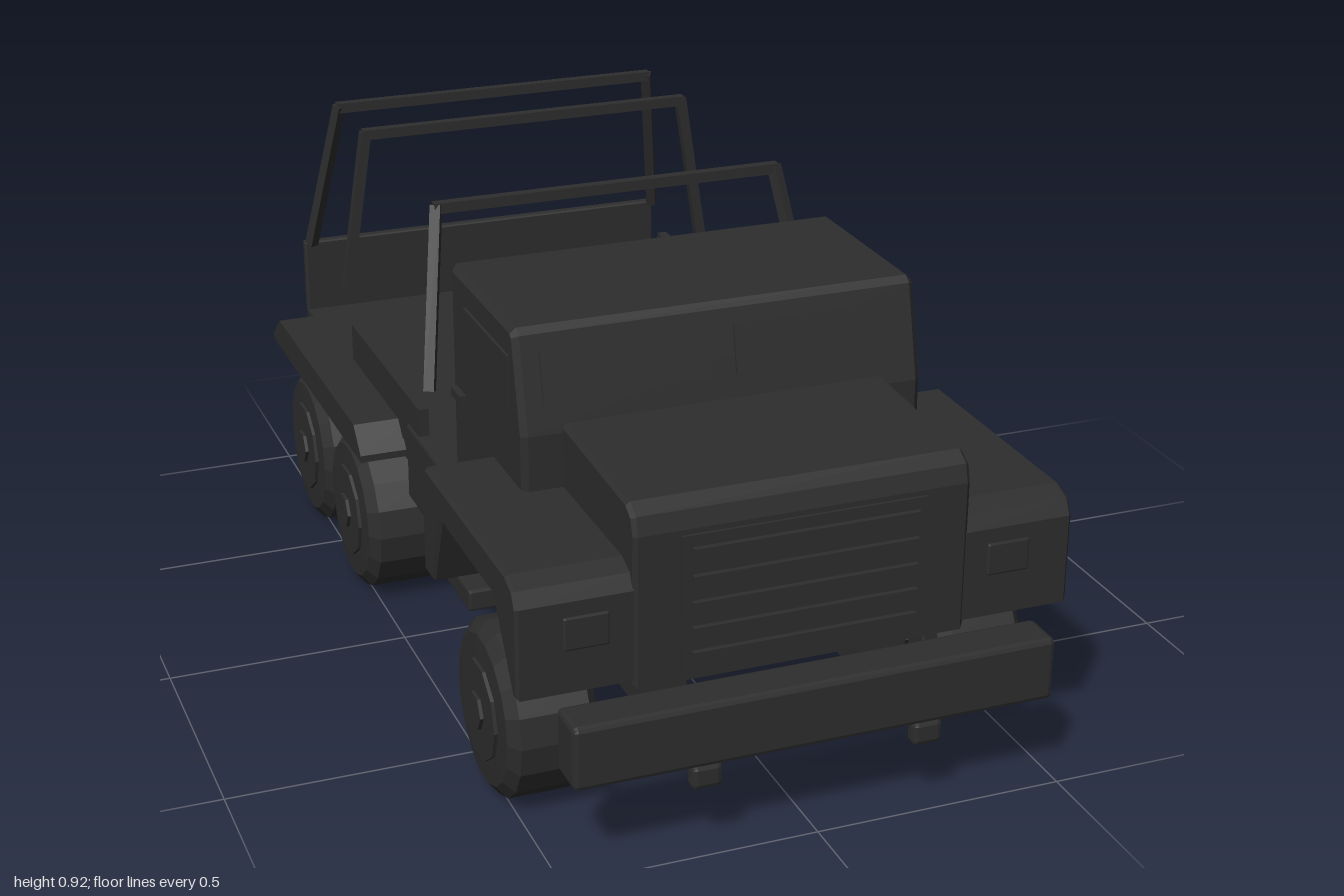
import * as THREE from 'three';
import { RoundedBoxGeometry } from 'three/addons/geometries/RoundedBoxGeometry.js';

export function createModel() {
  const truck = new THREE.Group();
  truck.name = 'truck';
  const paint = new THREE.MeshStandardMaterial({ color: 0x2d2d2d, flatShading: true });
  paint.name = 'charcoal';

  const add = (name, geometry) => {
    const mesh = new THREE.Mesh(geometry, paint);
    mesh.name = name;
    truck.add(mesh);
    return mesh;
  };

  // Box given by its limits on each axis, with optional softened edges
  const box = (name, [x0, x1], [y0, y1], [z0, z1], r = 0) => {
    const size = [x1 - x0, y1 - y0, z1 - z0];
    const g = r ? new RoundedBoxGeometry(...size, 1, r) : new THREE.BoxGeometry(...size);
    g.translate((x0 + x1) / 2, (y0 + y1) / 2, (z0 + z1) / 2);
    return add(name, g);
  };

  // Side profile of [z, y] points, extruded across x
  const profile = (name, points, x0, x1, bevel = 0.008) => {
    const shape = new THREE.Shape(points.map(([z, y]) => new THREE.Vector2(z, y)));
    const g = new THREE.ExtrudeGeometry(shape, {
      depth: x1 - x0 - 2 * bevel, bevelEnabled: bevel > 0, bevelSegments: 1,
      bevelSize: bevel, bevelThickness: bevel, bevelOffset: -bevel,
    });
    g.rotateY(-Math.PI / 2);
    g.translate(x1 - bevel, 0, 0);
    return add(name, g);
  };

  // Square bar between two points
  const bar = (name, a, b, t = 0.022) => {
    const from = new THREE.Vector3(...a), to = new THREE.Vector3(...b);
    const m = add(name, new THREE.BoxGeometry(t, t, from.distanceTo(to) + t * 0.5));
    m.position.copy(from).add(to).multiplyScalar(0.5);
    m.lookAt(to);
  };

  // Limits along x for a part on the given side
  const span = (s, a, b) => (s > 0 ? [a, b] : [-b, -a]);

  // Cab with a slanted windscreen
  profile('cab', [[0.11, 0.32], [0.545, 0.32], [0.54, 0.67], [0.495, 0.855],
    [0.48, 0.867], [0.11, 0.867]], -0.41, 0.41, 0.012);

  // Hood with a rounded nose
  profile('hood', [[0.53, 0.32], [0.91, 0.32], [0.91, 0.62], [0.9, 0.655],
    [0.87, 0.673], [0.53, 0.687]], -0.33, 0.33);

  // Grille plate and louvres
  box('grille', [-0.24, 0.24], [0.335, 0.61], [0.9, 0.916]);
  for (const y of [0.579, 0.525, 0.473, 0.422, 0.373]) {
    box('grilleLouvre', [-0.222, 0.222], [y - 0.008, y + 0.008], [0.91, 0.927]);
  }

  // Bumper
  box('bumper', [-0.477, 0.477], [0.187, 0.315], [0.91, 1], 0.01);

  // Chassis rails and cargo bed
  box('bedFloor', [-0.44, 0.44], [0.345, 0.385], [-0.99, 0.05]);
  box('tailgate', [-0.44, 0.44], [0.38, 0.555], [-1, -0.978], 0.005);

  for (const s of [1, -1]) {
    box('chassisRail', span(s, 0.175, 0.265), [0.19, 0.273], [-0.975, 0.78]);
    box('towHook', span(s, 0.19, 0.25), [0.14, 0.19], [0.965, 0.998], 0.01);
    box('headlight', span(s, 0.373, 0.462), [0.418, 0.486], [0.89, 0.908], 0.005);

    // Front fender with an angular wheel arch
    profile('frontFender', [[0.345, 0.335], [0.4, 0.335], [0.46, 0.488], [0.78, 0.488],
      [0.885, 0.335], [0.905, 0.335], [0.905, 0.515], [0.89, 0.545], [0.85, 0.56],
      [0.365, 0.56], [0.345, 0.54]], ...span(s, 0.32, 0.549), 0.006);

    // Rear fender over both rear wheels
    profile('rearFender', [[-0.92, 0.36], [-0.9, 0.35], [-0.15, 0.35], [-0.15, 0.365],
      [-0.2, 0.417], [-0.85, 0.417]], ...span(s, 0.41, 0.54), 0);

    box('fuelTank', span(s, 0.29, 0.447), [0.27, 0.44], [-0.123, 0.13], 0.008);
    box('cabStep', span(s, 0.3, 0.47), [0.24, 0.285], [0.225, 0.375], 0.005);

    // Windows and door handle
    box('sideWindow', span(s, 0.408, 0.416), [0.71, 0.81], [0.205, 0.472]);
    box('doorHandle', span(s, 0.408, 0.424), [0.602, 0.62], [0.138, 0.195]);
    const pane = add('windscreenPane', new THREE.BoxGeometry(0.338, 0.096, 0.008));
    pane.position.set(s * 0.194, 0.777, 0.5145);
    pane.rotation.x = -Math.atan2(0.045, 0.185);
  }

  // Staggered side boards
  box('leftSideBoard', [0.42, 0.442], [0.385, 0.5], [-0.893, -0.377]);
  box('rightSideBoard', [-0.442, -0.42], [0.385, 0.5], [-0.56, -0.04]);

  // Canopy hoops: [base z, top z]
  for (const [zBase, zTop] of [[0, -0.1], [-0.636, -0.636], [-0.955, -0.855]]) {
    for (const s of [1, -1]) {
      bar('hoopLeg', [s * 0.428, 0.562, zBase], [s * 0.374, 0.912, zTop]);
    }
    bar('hoopTop', [-0.374, 0.912, zTop], [0.374, 0.912, zTop]);
  }

  // Wheels: chunky tyre, stepped rim and small hub
  const half = [[0.105, 0.09], [0.148, 0.088], [0.173, 0.068]];
  const tyre = new THREE.LatheGeometry([
    new THREE.Vector2(0, -0.09),
    ...half.map(([r, h]) => new THREE.Vector2(r, -h)),
    ...half.slice().reverse().map(([r, h]) => new THREE.Vector2(r, h)),
    new THREE.Vector2(0, 0.09),
  ], 18);
  const rim = new THREE.CylinderGeometry(0.1, 0.1, 0.194, 10);
  const hub = new THREE.CylinderGeometry(0.037, 0.037, 0.208, 6);
  for (const g of [tyre, rim, hub]) g.rotateZ(Math.PI / 2);
  for (const z of [0.633, -0.304, -0.672]) {
    for (const s of [1, -1]) {
      for (const [name, g] of [['tyre', tyre], ['wheelRim', rim], ['wheelHub', hub]]) {
        add(name, g).position.set(s * 0.44, 0.173, z);
      }
    }
  }
  return truck;
}
